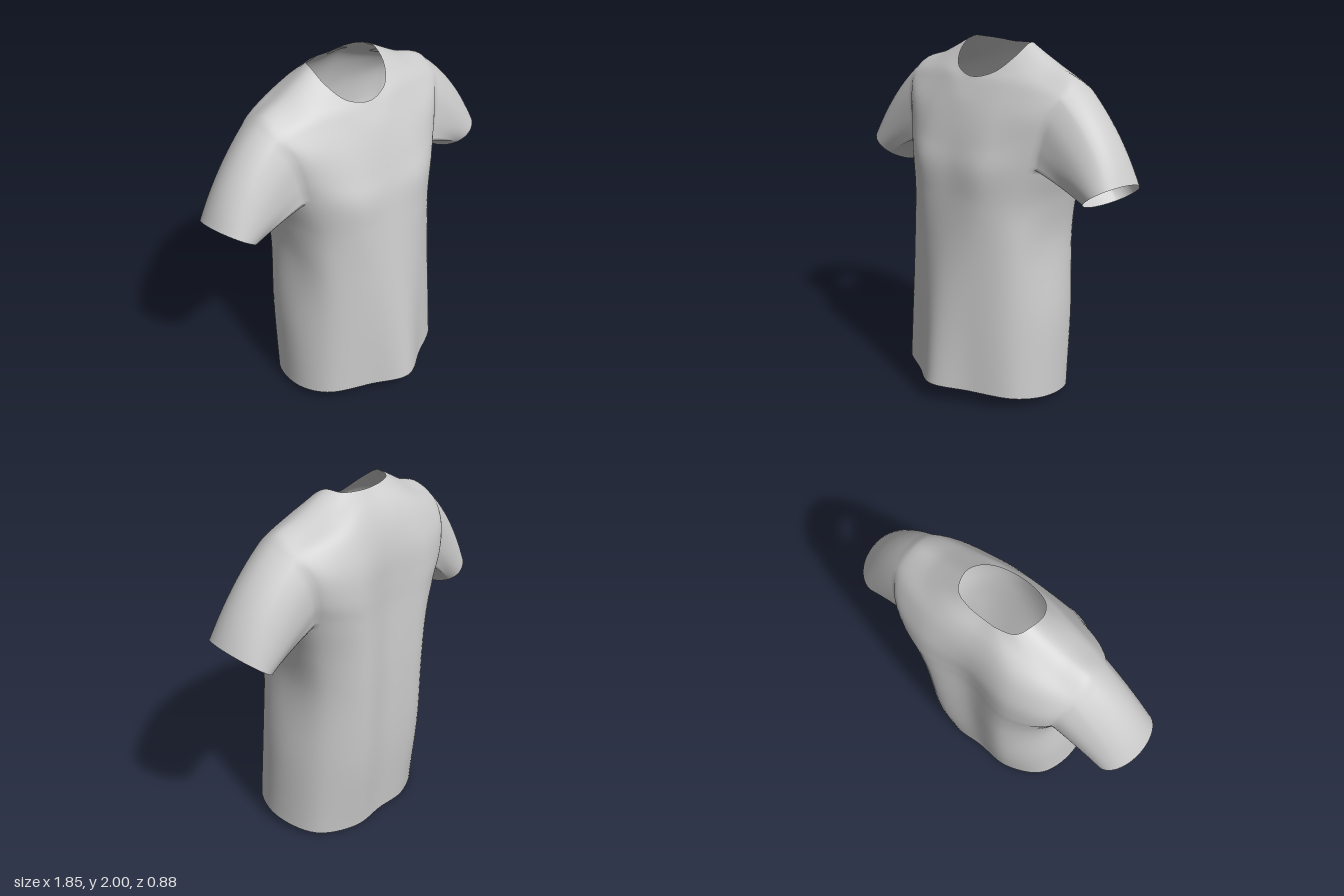
import * as THREE from 'three';

const V = (x, y, z) => new THREE.Vector3(x, y, z);

// Half cross-sections of the body from front centre round the +x side to back centre.
// Below the arms: [height, tilt of the ring with z, then x, z of seven points]
const LOWER = [
  [0.05, 0.136, 0, 0.44, 0.2, 0.335, 0.43, 0.195, 0.505, 0, 0.44, -0.25, 0.22, -0.37, 0, -0.368],
  [0.5, 0.07, 0, 0.39, 0.2, 0.32, 0.405, 0.185, 0.487, -0.03, 0.43, -0.28, 0.24, -0.42, 0, -0.405],
  [0.95, 0.02, 0, 0.333, 0.22, 0.29, 0.39, 0.165, 0.437, -0.06, 0.41, -0.29, 0.24, -0.437, 0, -0.41],
  [1.18, 0, 0, 0.303, 0.24, 0.275, 0.395, 0.15, 0.465, -0.09, 0.44, -0.29, 0.25, -0.437, 0, -0.405],
];
// From the armpit up to the neckline: x, y, z of the same seven points
const UPPER = [
  [0, 1.36, 0.275, 0.25, 1.37, 0.265, 0.46, 1.4, 0.105, 0.51, 1.35, -0.1, 0.49, 1.4, -0.31, 0.27, 1.37, -0.437, 0, 1.36, -0.4],
  [0, 1.48, 0.24, 0.26, 1.5, 0.22, 0.485, 1.53, 0.095, 0.54, 1.5, -0.12, 0.51, 1.53, -0.335, 0.29, 1.5, -0.437, 0, 1.5, -0.4],
  [0, 1.6, 0.2, 0.26, 1.64, 0.165, 0.515, 1.67, 0.07, 0.56, 1.67, -0.12, 0.535, 1.67, -0.32, 0.29, 1.66, -0.42, 0, 1.66, -0.395],
  [0, 1.7, 0.16, 0.25, 1.77, 0.1, 0.55, 1.775, 0.01, 0.575, 1.825, -0.11, 0.56, 1.775, -0.25, 0.28, 1.8, -0.37, 0, 1.8, -0.365],
  [0, 1.77, 0.122, 0.2, 1.83, 0.075, 0.36, 1.865, -0.005, 0.39, 1.905, -0.12, 0.37, 1.875, -0.235, 0.2, 1.9, -0.315, 0, 1.9, -0.315],
  [0, 1.825, 0.09, 0.135, 1.862, 0.055, 0.202, 1.94, -0.03, 0.21, 2, -0.13, 0.175, 1.992, -0.21, 0.09, 1.985, -0.24, 0, 1.98, -0.243],
];
const N = 8;            // columns between two section points
const M = 7;            // rows between two sections
const COLS = 12 * N;
const SLEEVE_STEPS = 14;

export function createModel() {
  const sections = [
    ...LOWER.map(([y, tilt, ...p]) => Array.from({ length: 7 }, (_, i) =>
      V(p[2 * i], y + tilt * p[2 * i + 1], p[2 * i + 1]))),
    ...UPPER.map((p) => Array.from({ length: 7 }, (_, i) => V(p[3 * i], p[3 * i + 1], p[3 * i + 2]))),
  ];
  const rows = (sections.length - 1) * M;
  const points = [];
  const at = (r, c) => r * COLS + ((c + COLS) % COLS);

  // Body surface: spline upwards through the sections, then round each mirrored ring
  const columns = Array.from({ length: 7 }, (_, i) =>
    new THREE.CatmullRomCurve3(sections.map((s) => s[i])));
  for (let r = 0; r <= rows; r++) {
    const half = columns.map((c) => c.getPoint(r / rows));
    const mirrored = half.slice(1, 6).reverse().map((p) => V(-p.x, p.y, p.z));
    const ring = new THREE.CatmullRomCurve3([...half, ...mirrored], true);
    for (let c = 0; c < COLS; c++) points.push(ring.getPoint(c / COLS));
  }

  // Body faces, leaving out a rectangle of the grid for each armhole
  const r0 = LOWER.length * M, r1 = r0 + 3 * M;
  const c0 = 2 * N, c1 = 4 * N;
  const bodyFaces = [];
  for (let r = 0; r < rows; r++) {
    for (let c = 0; c < COLS; c++) {
      const side = c < COLS / 2 ? c : COLS - 1 - c;
      if (r >= r0 && r < r1 && side >= c0 && side < c1) continue;
      const a = at(r, c), b = at(r, c + 1), d = at(r + 1, c), e = at(r + 1, c + 1);
      bodyFaces.push(a, b, e, a, e, d);
    }
  }

  // Armhole edge: from the armpit forwards, up, over the shoulder and down the back
  const edge = [];
  for (let c = 3 * N; c > c0; c--) edge.push([r0, c]);
  for (let r = r0; r < r1; r++) edge.push([r, c0]);
  for (let c = c0; c < c1; c++) edge.push([r1, c]);
  for (let r = r1; r > r0; r--) edge.push([r, c1]);
  for (let c = c1; c > 3 * N; c--) edge.push([r0, c]);

  // Sleeve: each armhole point bends along a curve to its place on the tilted cuff
  function sleeve(sign) {
    const rings = [edge.map(([r, c]) => at(r, sign * c))];
    const paths = edge.map(([r, c]) => {
      const p = points[at(r, c)].clone();
      const phi = Math.atan2((p.z + 0.11) / 0.19, (1.59 - p.y) / 0.24);
      const down = Math.cos(phi), front = Math.sin(phi);
      const cuff = V(0.8125 - 0.1125 * down, 1.282 - 0.083 * down + 0.025 * front, -0.105 + 0.188 * front);
      const top = Math.max(0, -down);
      const bend = p.clone().lerp(cuff, 0.5).add(V(0.055 * top, 0.05 * top + 0.03 * Math.max(0, down), 0));
      return new THREE.QuadraticBezierCurve3(p, bend, cuff);
    });
    for (let s = 1; s <= SLEEVE_STEPS; s++) {
      rings.push(paths.map((path) => {
        const p = path.getPoint(s / SLEEVE_STEPS);
        return points.push(V(sign * p.x, p.y, p.z)) - 1;
      }));
    }
    const faces = [];
    for (let s = 0; s < SLEEVE_STEPS; s++) {
      for (let i = 0; i < edge.length; i++) {
        const j = (i + 1) % edge.length;
        const a = rings[s][i], b = rings[s][j], d = rings[s + 1][i], e = rings[s + 1][j];
        if (sign > 0) faces.push(a, d, e, a, e, b);
        else faces.push(a, e, d, a, b, e);
      }
    }
    return faces;
  }
  const parts = { body: bodyFaces, leftSleeve: sleeve(1), rightSleeve: sleeve(-1) };

  // Normals are worked out over the whole garment so the seams shade smoothly
  const whole = new THREE.BufferGeometry().setFromPoints(points);
  whole.setIndex(Object.values(parts).flat());
  whole.computeVertexNormals();

  const material = new THREE.MeshStandardMaterial({ color: 0xcccccc, side: THREE.DoubleSide });
  const shirt = new THREE.Group();
  shirt.name = 'shirt';
  for (const [name, faces] of Object.entries(parts)) {
    const geometry = new THREE.BufferGeometry();
    geometry.setAttribute('position', whole.attributes.position);
    geometry.setAttribute('normal', whole.attributes.normal);
    geometry.setIndex(faces);
    const mesh = new THREE.Mesh(geometry, material);
    mesh.name = name;
    shirt.add(mesh);
  }
  return shirt;
}
